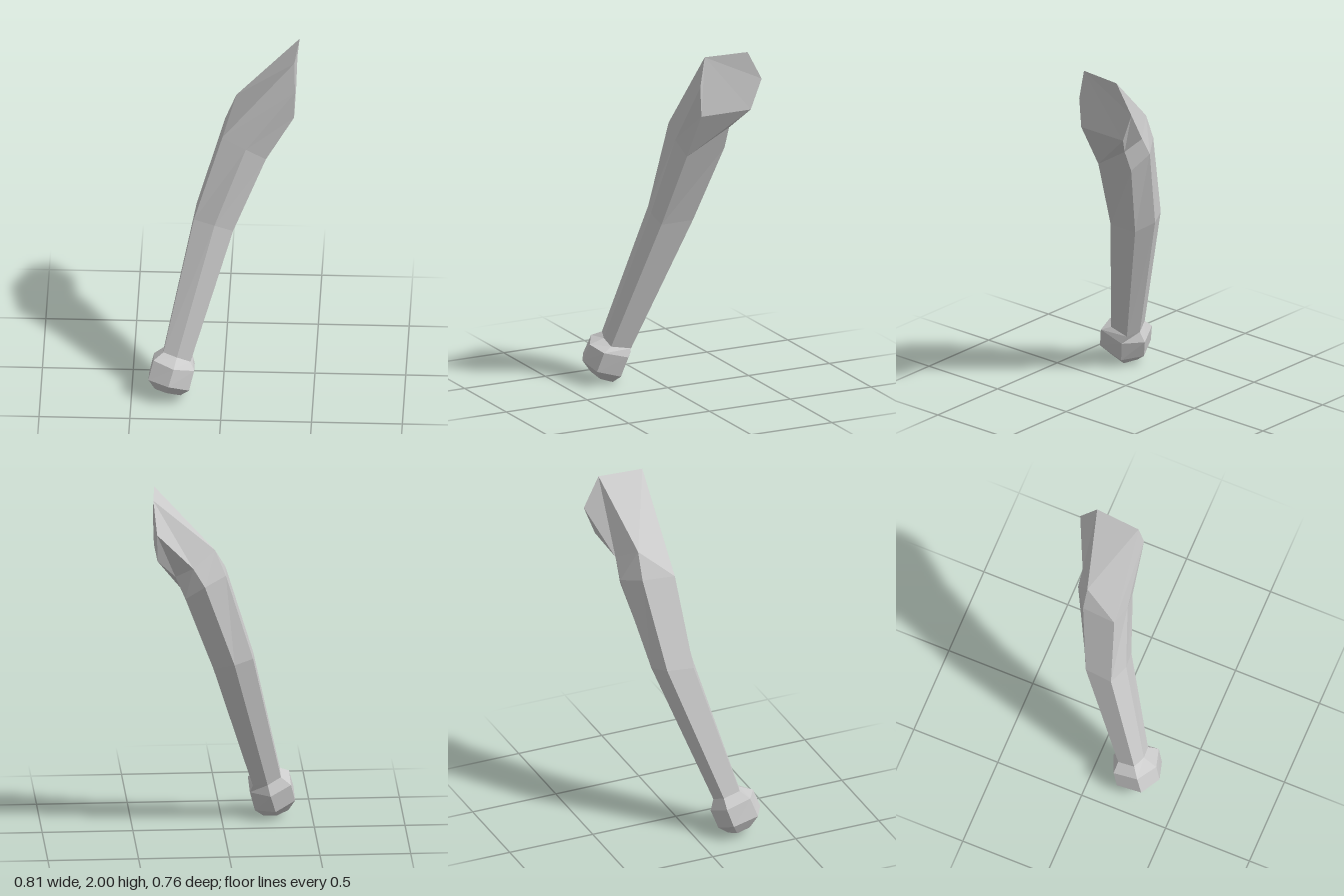
import * as THREE from 'three';

const grey = () => new THREE.MeshStandardMaterial({ color: 0xcccccc, flatShading: true });

// Corner order in every ring: left-front, left-back, back, right-back, right-front, front (from above)
const collar = [[-.325, .27, .24], [-.325, .245, .145], [-.25, .21, .115], [-.17, .2, .14], [-.175, .225, .26], [-.25, .255, .267]];

const knobRings = [
  [[-.37, .055, .28], [-.37, .035, .205], [-.305, .012, .18], [-.235, 0, .22], [-.23, .03, .3], [-.305, .055, .32]],
  [[-.405, .135, .315], [-.405, .1, .17], [-.295, .05, .125], [-.185, .04, .195], [-.18, .09, .345], [-.293, .13, .378]],
  [[-.378, .24, .28], [-.38, .2, .14], [-.265, .15, .092], [-.155, .155, .165], [-.153, .2, .315], [-.265, .225, .347]],
  collar,
];

const lowerBend = [[-.01, 1.52, -.01], [0, 1.53, -.2], [.12, 1.49, -.28], [.225, 1.41, -.235], [.23, 1.39, 0], [.12, 1.46, .015]];
// The bend opens only along the back: the front corners are shared
const upperBend = [lowerBend[0], [.06, 1.68, -.2], [.185, 1.6, -.28], [.28, 1.54, -.235], lowerBend[4], lowerBend[5]];

const shaftRings = [
  collar,
  [[-.165, 1.01, .035], [-.155, 1.02, -.12], [-.05, 1, -.17], [.063, .965, -.123], [.052, .96, .066], [-.05, 1, .078]],
  lowerBend,
  upperBend,
  [[.385, 2, -.03], [.405, 2, -.285], [.39, 1.83, -.38], [.385, 1.66, -.315], [.385, 1.66, -.01], [.39, 1.83, 0]],
];

// Skin a stack of rings, closing the first and/or last one
function skin(name, rings, capStart, capEnd) {
  const pos = [];
  const tri = (a, b, c) => {
    if (a !== b && b !== c && a !== c) pos.push(...a, ...b, ...c);
  };
  for (let r = 0; r < rings.length - 1; r++) {
    const lo = rings[r], up = rings[r + 1], n = lo.length;
    for (let i = 0; i < n; i++) {
      const j = (i + 1) % n;
      tri(lo[j], lo[i], up[i]);
      tri(lo[j], up[i], up[j]);
    }
  }
  const first = rings[0], last = rings[rings.length - 1];
  for (let i = 1; i < first.length - 1; i++) {
    if (capStart) tri(first[0], first[i], first[i + 1]);
    if (capEnd) tri(last[0], last[i + 1], last[i]);
  }
  const geometry = new THREE.BufferGeometry();
  geometry.setAttribute('position', new THREE.Float32BufferAttribute(pos, 3));
  geometry.computeVertexNormals();
  const mesh = new THREE.Mesh(geometry, grey());
  mesh.name = name;
  return mesh;
}

export function createModel() {
  const group = new THREE.Group();
  group.name = 'bentClub';
  // Rounded end knob, then the curved six-sided shaft with its flared, cut-off tip
  group.add(skin('knob', knobRings, true, false));
  group.add(skin('shaft', shaftRings, false, true));
  return group;
}
